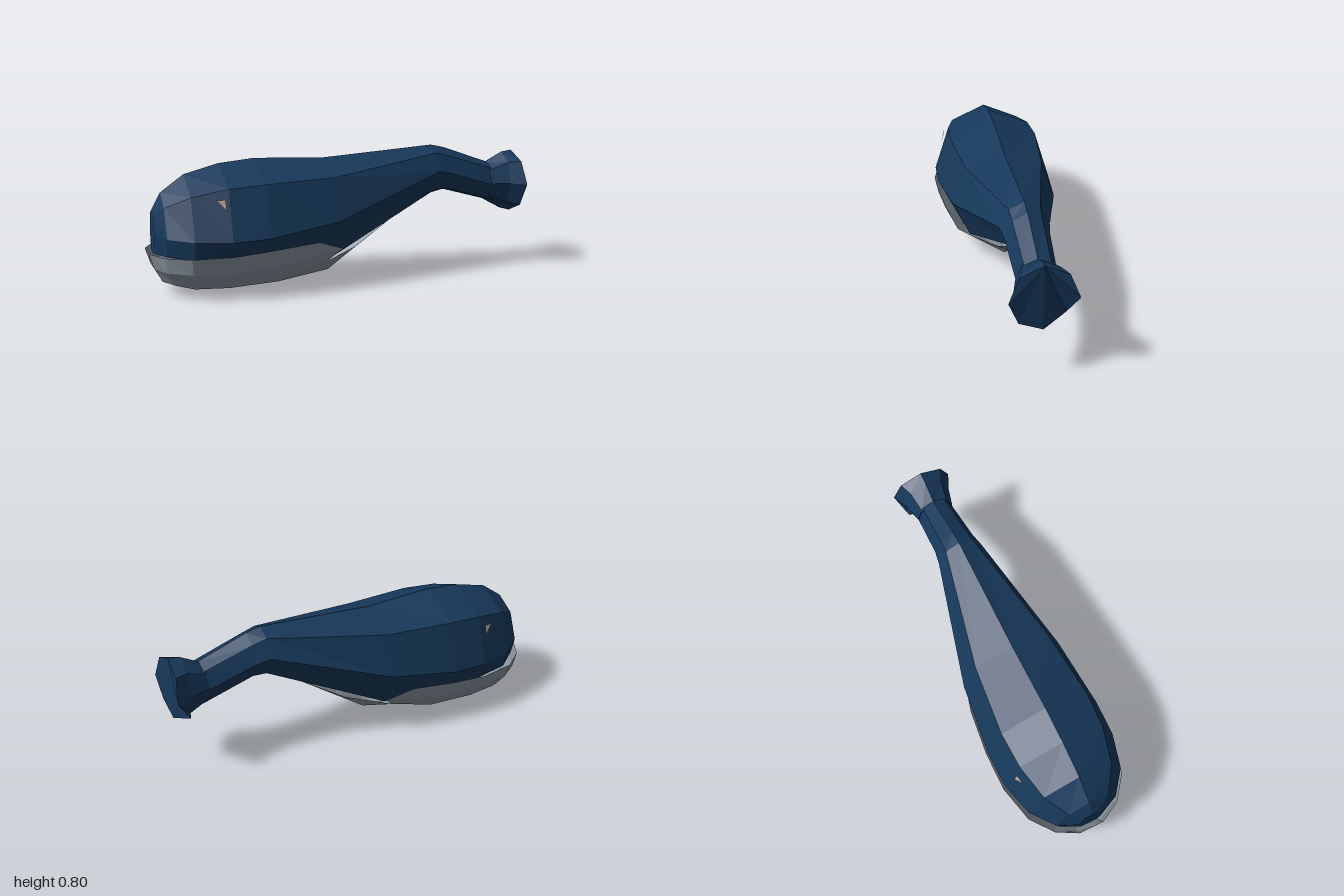
import * as THREE from 'three';

const mat = (color) => new THREE.MeshStandardMaterial({ color, flatShading: true, side: THREE.DoubleSide });

// Skins rings of [x, y, z] points that run clockwise as seen from the head (+z).
function loft(rings, { closed = true, capFront = false, capBack = false } = {}) {
  const n = rings[0].length;
  const index = [];
  const span = closed ? n : n - 1;
  for (let i = 0; i < rings.length - 1; i++) {
    for (let j = 0; j < span; j++) {
      const k = (j + 1) % n;
      const a = i * n + j, b = i * n + k, c = (i + 1) * n + k, d = (i + 1) * n + j;
      index.push(a, b, c, a, c, d);
    }
  }
  const last = (rings.length - 1) * n;
  for (let j = 1; j < n - 1; j++) {
    if (capFront) index.push(0, j + 1, j);
    if (capBack) index.push(last, last + j, last + j + 1);
  }
  const geo = new THREE.BufferGeometry();
  geo.setAttribute('position', new THREE.Float32BufferAttribute(rings.flat(2), 3));
  geo.setIndex(index);
  const flat = geo.toNonIndexed();
  flat.computeVertexNormals();
  return flat;
}

// Eight-sided body section: s runs from head to tail.
function bodyRing([s, top, shoulderX, shoulderY, wideX, wideY, lowX, lowY, keel]) {
  const side = [[shoulderX, shoulderY], [wideX, wideY], [lowX, lowY]];
  return [
    [0, top, -s],
    ...side.map(([x, y]) => [x, y, -s]),
    [0, keel, -s],
    ...side.slice().reverse().map(([x, y]) => [-x, y, -s]),
  ];
}

// Mirrors a half section given as [s, x, y] from rim to keel.
function mirrorSection(half) {
  const right = half.map(([s, x, y]) => [x, y, -s]);
  const left = right.slice(0, -1).reverse().map(([x, y, z]) => [-x, y, z]);
  return [...right, ...left];
}

// Octagonal ring of the tail fluke, matching the order of the body rings.
function flukeRing(s, y, rx, ry, lean = 0) {
  return Array.from({ length: 8 }, (_, i) => {
    const a = (i / 8) * Math.PI * 2;
    return [Math.sin(a) * rx, y + Math.cos(a) * ry, -(s - Math.abs(Math.cos(a)) * lean)];
  });
}

export function createModel() {
  const group = new THREE.Group();
  const add = (name, geo, material) => {
    const mesh = new THREE.Mesh(geo, material);
    mesh.name = name;
    group.add(mesh);
  };
  const blue = mat(0x17395c);
  const grey = mat(0x8a97a0);
  const pale = mat(0xb8ab9c);

  // Back and head: s, top, shoulder, widest point, lower edge, keel
  const body = [
    [-1.205, 0.50, 0.05, 0.47, 0.08, 0.36, 0.06, 0.25, 0.24],
    [-1.15, 0.60, 0.13, 0.53, 0.20, 0.36, 0.17, 0.25, 0.23],
    [-1.01, 0.70, 0.22, 0.60, 0.31, 0.355, 0.28, 0.24, 0.20],
    [-0.80, 0.755, 0.27, 0.645, 0.366, 0.35, 0.32, 0.235, 0.17],
    [-0.58, 0.775, 0.28, 0.66, 0.37, 0.36, 0.29, 0.21, 0.13],
    [-0.15, 0.755, 0.24, 0.67, 0.325, 0.42, 0.22, 0.19, 0.10],
    [0.57, 0.80, 0.09, 0.76, 0.145, 0.65, 0.07, 0.52, 0.49],
    [0.66, 0.78, 0.085, 0.735, 0.13, 0.63, 0.07, 0.525, 0.51],
    [0.98, 0.665, 0.075, 0.635, 0.115, 0.53, 0.07, 0.43, 0.42],
  ];
  add('body', loft(body.map(bodyRing), { capFront: true, capBack: true }), blue);

  // Flared tail fluke with one lower corner folded forward
  const end = flukeRing(1.165, 0.54, 0.193, 0.2, 0.025);
  end[5][2] = -1.08;
  add('tailFluke', loft([
    flukeRing(0.95, 0.545, 0.12, 0.12),
    flukeRing(1.07, 0.545, 0.15, 0.185),
    end,
  ], { capFront: true, capBack: true }), blue);

  // Lower jaw bowl: rim, bulge, floor edge and keel per section, as [s, x, y]
  const jaw = [
    [[-1.24, 0.08, 0.255], [-1.21, 0.075, 0.16], [-1.16, 0.06, 0.075], [-1.16, 0, 0.07]],
    [[-1.17, 0.21, 0.255], [-1.15, 0.20, 0.16], [-1.10, 0.15, 0.07], [-1.10, 0, 0.055]],
    [[-1.03, 0.32, 0.26], [-1.02, 0.29, 0.16], [-1.00, 0.21, 0.055], [-1.00, 0, 0.03]],
    [[-0.80, 0.375, 0.27], [-0.80, 0.33, 0.16], [-0.80, 0.23, 0.05], [-0.80, 0, 0]],
    [[-0.56, 0.375, 0.29], [-0.54, 0.335, 0.18], [-0.50, 0.22, 0.06], [-0.50, 0, 0.02]],
    [[-0.28, 0.345, 0.31], [-0.12, 0.30, 0.25], [-0.20, 0.23, 0.16], [-0.12, 0, 0.045]],
  ];
  add('lowerJaw', loft(jaw.map(mirrorSection), { closed: false, capFront: true }), grey);

  // Belly patch tapering towards the tail
  add('bellyPatch', loft([
    mirrorSection([[-0.20, 0.23, 0.16], [-0.12, 0, 0.045]]),
    mirrorSection([[0.05, 0.08, 0.205], [0.05, 0, 0.165]]),
    mirrorSection([[0.30, 0.02, 0.35], [0.30, 0, 0.342]]),
  ], { closed: false }), grey);

  // Small triangular eyes
  for (const side of [1, -1]) {
    const corners = [[side * 0.292, 0.59, 0.88], [side * 0.30, 0.59, 0.825], [side * 0.318, 0.53, 0.825]];
    if (side < 0) corners.reverse();
    const geo = new THREE.BufferGeometry();
    geo.setAttribute('position', new THREE.Float32BufferAttribute(corners.flat(), 3));
    geo.computeVertexNormals();
    add(side > 0 ? 'leftEye' : 'rightEye', geo, pale);
  }

  // The animal lies diagonally, head towards the front right
  group.rotation.y = -0.714;
  group.position.set(-0.018, 0, -0.016);
  const root = new THREE.Group();
  root.name = 'whale';
  root.add(group);
  return root;
}
